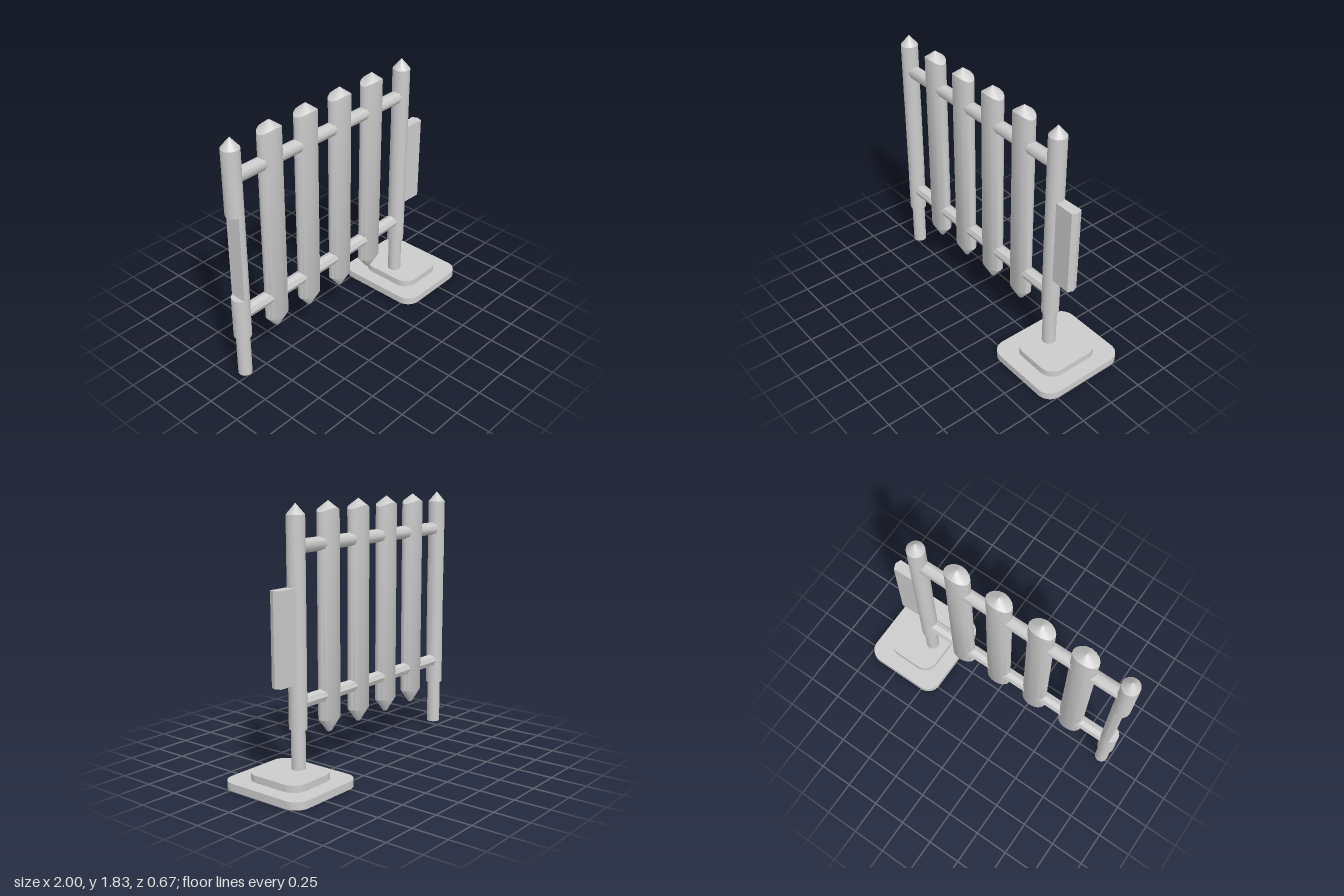
import * as THREE from 'three';
import { toCreasedNormals } from 'three/addons/utils/BufferGeometryUtils.js';

const LEFT_X = 0.62, RIGHT_X = -0.94;   // the two posts
const POST_R = 0.061, LEG_R = 0.048;
const SIDES = 16;

export function createModel() {
  const group = new THREE.Group();
  const material = new THREE.MeshStandardMaterial({ color: 0xcccccc });

  const add = (name, geometry, x = 0, y = 0, z = 0, crease = 0.6) => {
    const mesh = new THREE.Mesh(toCreasedNormals(geometry, crease), material);
    mesh.name = name;
    mesh.position.set(x, y, z);
    group.add(mesh);
    return mesh;
  };

  // Closed turned solid from [radius, y] pairs, listed bottom to top
  const turned = (pairs) =>
    new THREE.LatheGeometry(pairs.map(([r, y]) => new THREE.Vector2(r, y)), SIDES);

  // Upright prism from a plan outline
  const prism = (shape, height, curveSegments = 4) =>
    new THREE.ExtrudeGeometry(shape, { depth: height, bevelEnabled: false, curveSegments })
      .rotateX(-Math.PI / 2);

  const roundedPlan = (w, d, r) => {
    const x = w / 2, y = d / 2, s = new THREE.Shape();
    s.moveTo(-x + r, -y);
    s.lineTo(x - r, -y);
    s.absarc(x - r, -y + r, r, -Math.PI / 2, 0);
    s.lineTo(x, y - r);
    s.absarc(x - r, y - r, r, 0, Math.PI / 2);
    s.lineTo(-x + r, y);
    s.absarc(-x + r, y - r, r, Math.PI / 2, Math.PI);
    s.lineTo(-x, -y + r);
    s.absarc(-x + r, -y + r, r, Math.PI, Math.PI * 1.5);
    return s;
  };

  // Pickets: oval section, blunt lower tip, cone-cut top
  const picket = () => {
    const rx = 0.093, rz = 0.06, shoulder = 1.753, peak = 1.825;
    const g = turned([[0, 0.28], [0.2, 0.28], [1, 0.372], [1, shoulder], [0, peak]]);
    g.scale(rx, 1, rz);
    const p = g.attributes.position;
    for (let i = 0; i < p.count; i++) {
      if (Math.abs(p.getY(i) - shoulder) < 1e-4) {
        const r = Math.hypot(p.getX(i), p.getZ(i));
        p.setY(i, peak - (peak - shoulder) * r / rx);
      }
    }
    return g;
  };
  for (let i = 0; i < 4; i++) add('picket', picket(), -0.628 + i * 0.312);

  // Left post, full height
  add('leftPost', turned([[0, 0.372], [POST_R, 0.372], [POST_R, 1.753], [0, 1.825]]), LEFT_X);

  // Right post, cut back on its outer side to receive a neighbouring panel's tab
  add('rightPostLower', turned([[0, 0.372], [POST_R, 0.372], [POST_R, 0.68], [0, 0.68]]), RIGHT_X);
  add('rightPostUpper', turned([[0, 1.30], [POST_R, 1.30], [POST_R, 1.753], [0, 1.825]]), RIGHT_X);
  const cut = Math.acos(-0.3);
  const notched = new THREE.Shape();
  notched.absarc(0, 0, POST_R, -cut, cut);
  notched.closePath();
  add('rightPostNotch', prism(notched, 0.62, 12), RIGHT_X, 0.68);

  // Legs below the posts
  const leg = (y) => turned([[0, y], [LEG_R, y], [LEG_R, 0.38], [0, 0.38]]);
  add('leftLeg', leg(0.09), LEFT_X);
  add('rightLeg', leg(0.057), RIGHT_X);

  // Rails
  const rail = (y, crease) => add('rail',
    new THREE.CylinderGeometry(0.047, 0.047, LEFT_X - RIGHT_X, 8).rotateZ(Math.PI / 2),
    (LEFT_X + RIGHT_X) / 2, y, 0, crease);
  rail(1.553, 0.9);
  rail(0.543, 0.3);

  // Connecting tab on the left post
  const tab = new THREE.Shape([
    [0, -0.034], [0.196, -0.04], [0.212, 0], [0.196, 0.04], [0, 0.034],
  ].map(([x, y]) => new THREE.Vector2(x, y)));
  add('connectingTab', prism(tab, 0.62), LEFT_X, 0.68, 0, 0.3);

  // Stepped foot
  add('footPlate', prism(roundedPlan(0.6, 0.67, 0.1), 0.053), 0.7);
  add('footStep', prism(roundedPlan(0.39, 0.444, 0.1), 0.053), 0.7, 0.048);

  return group;
}
